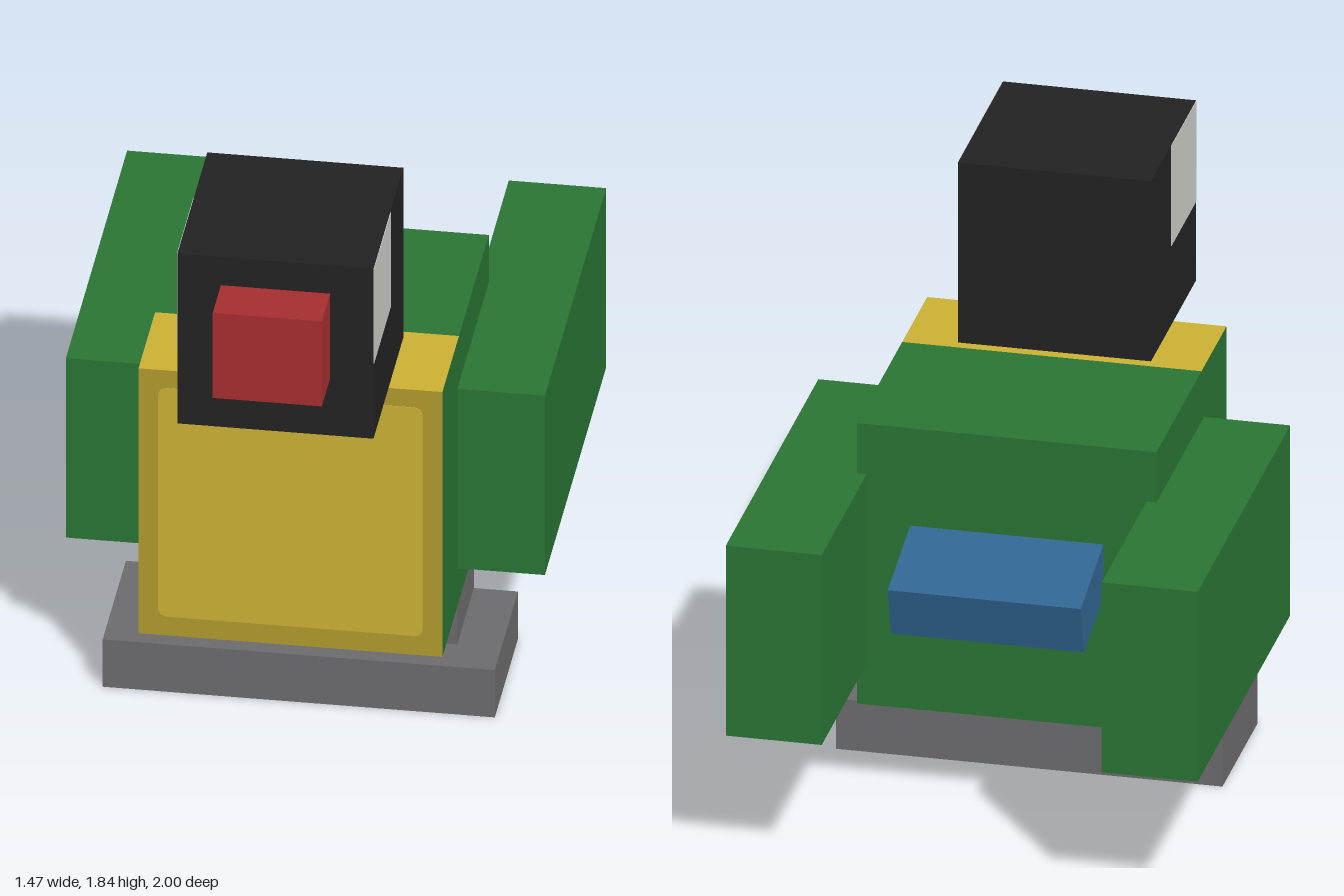
import * as THREE from 'three';

const mat = (name, color) => {
  const m = new THREE.MeshStandardMaterial({ color });
  m.name = name;
  return m;
};

export function createModel() {
  const group = new THREE.Group();
  group.name = 'bird';

  const green = mat('green', 0x2a7434);
  const yellow = mat('yellow', 0xcab034);
  const ochre = mat('ochre', 0xb09a2e);
  const black = mat('black', 0x222222);
  const white = mat('white', 0xcacac6);
  const grey = mat('grey', 0x6b6b6d);
  const red = mat('red', 0xa52d2f);
  const blue = mat('blue', 0x306591);

  // Box given by its minimum and maximum on each axis
  function box(name, [x0, x1], [y0, y1], [z0, z1], material) {
    const mesh = new THREE.Mesh(new THREE.BoxGeometry(x1 - x0, y1 - y0, z1 - z0), material);
    mesh.position.set((x0 + x1) / 2, (y0 + y1) / 2, (z0 + z1) / 2);
    mesh.name = name;
    group.add(mesh);
    return mesh;
  }

  // Mirrored pair, given by the box on the +x side
  function pair(name, [x0, x1], y, z, material) {
    box(name + 'Left', [x0, x1], y, z, material);
    box(name + 'Right', [-x1, -x0], y, z, material);
  }

  // Body: green back, and a chest with a yellow top and ochre-rimmed front
  const bodyX = [-0.465, 0.465], bodyY = [0.3, 1.235];
  box('bodyBack', bodyX, bodyY, [-0.4, 0.2], green);
  box('chest', bodyX, bodyY, [0.2, 0.533], [green, green, yellow, green, ochre, green]);

  // Belly panel with softened corners
  const w = 0.405, h = 0.403, r = 0.03;
  const panel = new THREE.Shape();
  panel.moveTo(-w + r, -h);
  panel.lineTo(w - r, -h);
  panel.quadraticCurveTo(w, -h, w, -h + r);
  panel.lineTo(w, h - r);
  panel.quadraticCurveTo(w, h, w - r, h);
  panel.lineTo(-w + r, h);
  panel.quadraticCurveTo(-w, h, -w, h - r);
  panel.lineTo(-w, -h + r);
  panel.quadraticCurveTo(-w, -h, -w + r, -h);
  const belly = new THREE.Mesh(
    new THREE.ExtrudeGeometry(panel, { depth: 0.003, bevelEnabled: false, curveSegments: 4 }), yellow);
  belly.position.set(0, 0.77, 0.532);
  belly.name = 'bellyPanel';
  group.add(belly);

  // Head, eyes and beak
  box('head', [-0.3, 0.3], [1.235, 1.835], [0.235, 0.835], black);
  pair('eye', [0.298, 0.302], [1.5, 1.834], [0.5, 0.834], white);
  box('beak', [-0.167, 0.167], [1.435, 1.735], [0.835, 1], red);

  // Wings swept back past the body
  pair('wing', [0.435, 0.733], [0.435, 1.068], [-1, 0.233], green);

  // Legs on one broad foot slab
  pair('leg', [0.167, 0.465], [0.167, 0.3], [-0.1, 0.235], grey);
  box('feet', [-0.6, 0.6], [0, 0.167], [-0.1, 0.367], grey);

  // Tail, drooping from its root inside the body
  const tailLength = 0.45, tailHeight = 0.17;
  const tailGeometry = new THREE.BoxGeometry(0.6, tailHeight, tailLength);
  tailGeometry.translate(0, -tailHeight / 2, tailLength / 2);
  const tail = new THREE.Mesh(tailGeometry, blue);
  tail.position.set(0, 0.83, -0.7);
  tail.rotation.x = -THREE.MathUtils.degToRad(15);
  tail.name = 'tail';
  group.add(tail);

  return group;
}
